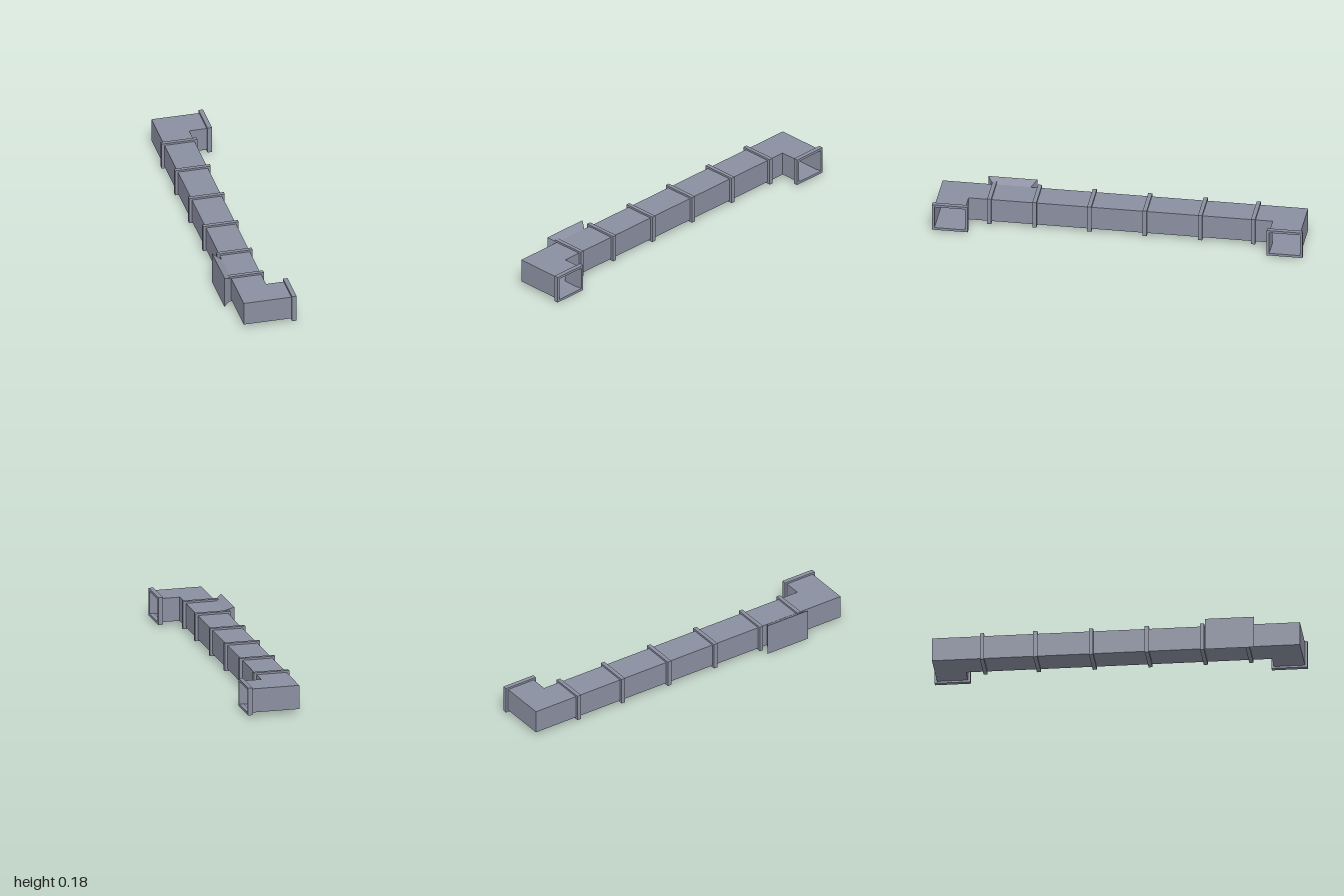
import * as THREE from 'three';

const CY = 0.0905;               // height of the duct axis
const H = 0.131;                 // duct height
const X0 = -0.122, X1 = 0.043;   // main run, back and inner wall
const Z0 = 0.82, Z1 = 0.986;     // elbow walls
const XE = 0.15;                 // end of the elbow branches

export function createModel() {
  const metal = new THREE.MeshStandardMaterial({ color: 0x8a8fa0, side: THREE.DoubleSide });
  metal.name = 'galvanised steel';
  const model = new THREE.Group();
  model.name = 'airDuct';
  const add = (parent, geometry, name, x = 0, y = 0, z = 0) => {
    const mesh = new THREE.Mesh(geometry, metal);
    mesh.name = name;
    mesh.position.set(x, y, z);
    parent.add(mesh);
    return mesh;
  };

  // Sheet duct in a C-shaped plan, open at both branch ends
  const plan = [
    [XE, -Z0], [X1, -Z0], [X1, Z0], [XE, Z0],
    [XE, Z1], [X0, Z1], [X0, -Z1], [XE, -Z1],
  ];
  const duct = new THREE.Group();
  duct.name = 'duct';
  model.add(duct);
  const outline = new THREE.Shape(plan.map(([x, z]) => new THREE.Vector2(x, -z)));
  add(duct, new THREE.ShapeGeometry(outline).rotateX(-Math.PI / 2), 'ductTop', 0, CY + H / 2);
  // plan is symmetric in z, so the floor is the top turned over
  add(duct, new THREE.ShapeGeometry(outline).rotateX(Math.PI / 2), 'ductFloor', 0, CY - H / 2);
  plan.forEach(([ax, az], i) => {
    const [bx, bz] = plan[(i + 1) % plan.length];
    if (ax === XE && bx === XE) return; // open end
    const wall = add(duct, new THREE.PlaneGeometry(Math.hypot(bx - ax, bz - az), H),
      'ductWall', (ax + bx) / 2, CY, (az + bz) / 2);
    // turn the front of each wall outward
    wall.rotation.y = Math.atan2(bz - az, -(bx - ax));
  });

  // Rectangular frames, outer size w by h, extruded by depth and centred
  const frame = (w, h, wall, depth) => {
    const rect = (C, a, b) => new C([[-a, -b], [a, -b], [a, b], [-a, b]]
      .map(([x, y]) => new THREE.Vector2(x, y)));
    const shape = rect(THREE.Shape, w / 2, h / 2);
    shape.holes.push(rect(THREE.Path, w / 2 - wall, h / 2 - wall));
    return new THREE.ExtrudeGeometry(shape, { depth, bevelEnabled: false })
      .translate(0, 0, -depth / 2);
  };

  // End flanges around the openings
  for (const s of [1, -1]) {
    add(model, frame(0.193, 0.152, 0.0135, 0.025).rotateY(Math.PI / 2),
      'endFlange', 0.1525, CY, s * (Z0 + Z1) / 2);
  }

  // Joint collars along the run
  for (const z of [-0.717, -0.431, -0.132, 0.167, 0.463, 0.707]) {
    add(model, frame(0.196, 0.152, 0.0155, 0.022), 'jointCollar', (X0 + X1) / 2, CY, z);
  }

  // Flared vent on the back wall: a box tapered towards the duct
  const vent = new THREE.BoxGeometry(0.044, 0.178, 0.264);
  const p = vent.attributes.position;
  for (let i = 0; i < p.count; i++) {
    if (p.getX(i) > 0) {
      p.setY(i, Math.sign(p.getY(i)) * 0.0645);
      p.setZ(i, Math.sign(p.getZ(i)) * 0.102);
    }
  }
  vent.computeVertexNormals();
  add(model, vent, 'flaredVent', -0.144, CY, 0.613);

  return model;
}
